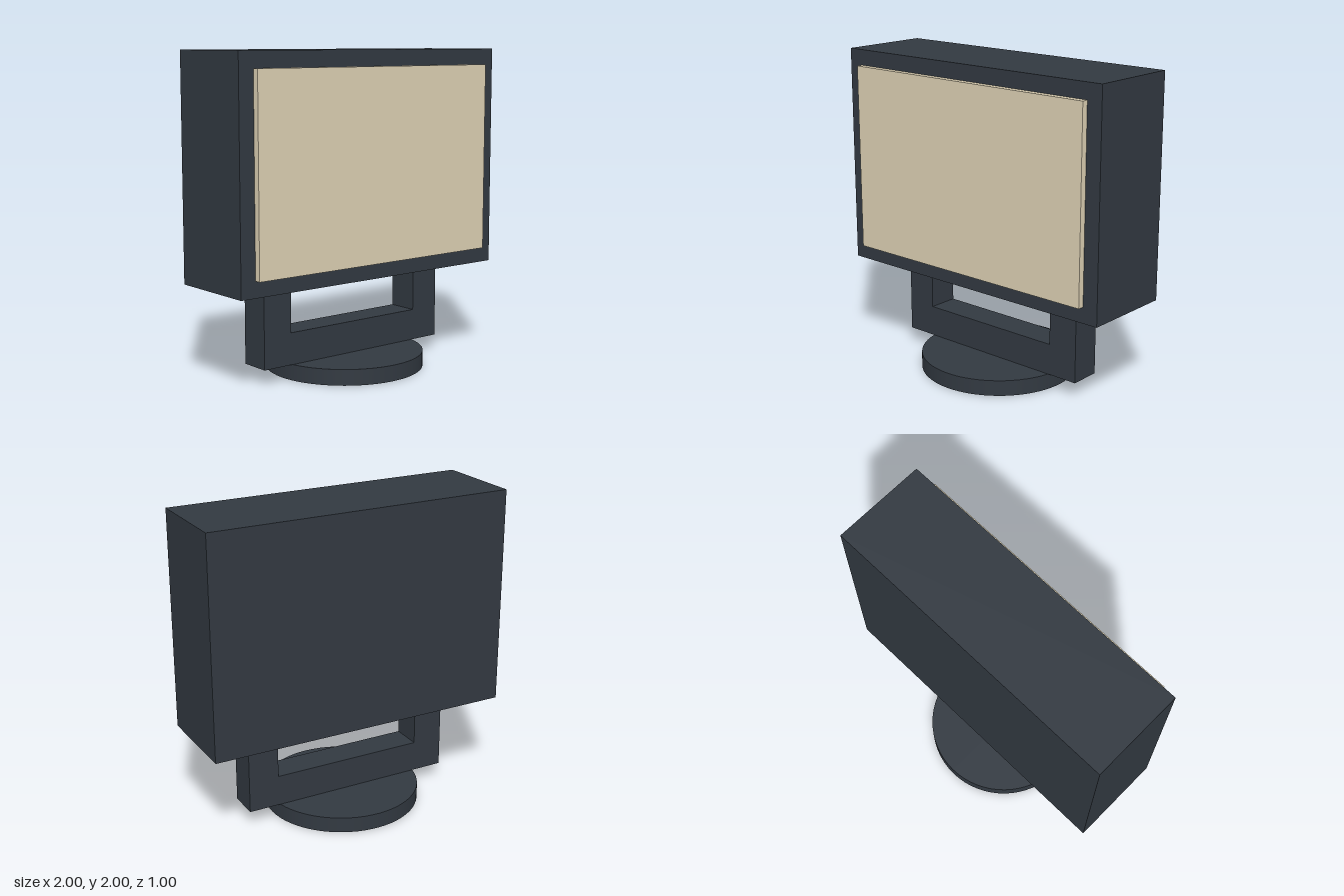
import * as THREE from 'three';

export function createModel() {
  const model = new THREE.Group();
  model.name = 'monitorOnStand';
  const dark = new THREE.MeshStandardMaterial({ color: 0x323941 });
  const cream = new THREE.MeshStandardMaterial({ color: 0xddd1b4 });

  const add = (name, geometry, material, x, y, z) => {
    const mesh = new THREE.Mesh(geometry, material);
    mesh.name = name;
    mesh.position.set(x, y, z);
    model.add(mesh);
  };

  // Casing and the slightly raised screen on its front
  add('casing', new THREE.BoxGeometry(2, 1.4, 0.6), dark, 0, 1.3, 0);
  add('screen', new THREE.BoxGeometry(1.8, 1.2, 0.04), cream, 0, 1.3, 0.32);

  // U-shaped bracket, one outline extruded through its depth
  const outline = [[-0.7, 0.1], [0.7, 0.1], [0.7, 0.6], [0.5, 0.6],
    [0.5, 0.3], [-0.5, 0.3], [-0.5, 0.6], [-0.7, 0.6]];
  const bracket = new THREE.Shape(outline.map(([x, y]) => new THREE.Vector2(x, y)));
  add('bracket', new THREE.ExtrudeGeometry(bracket, { depth: 0.2, bevelEnabled: false }), dark, 0, 0, -0.1);

  // Round foot
  add('base', new THREE.CylinderGeometry(0.5, 0.5, 0.1, 64), dark, 0, 0.05, 0);

  return model;
}
